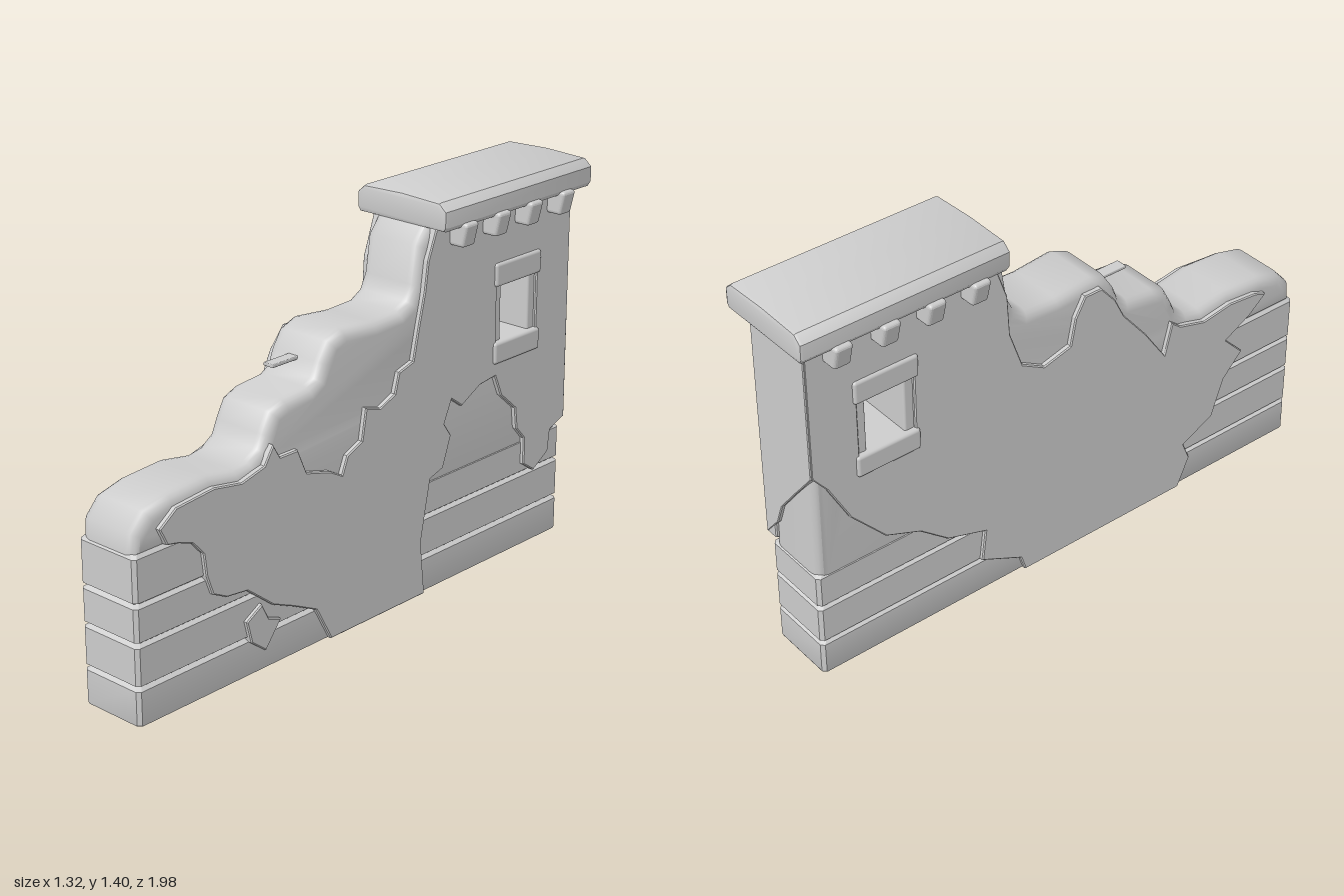
import * as THREE from 'three';
import { toCreasedNormals } from 'three/addons/utils/BufferGeometryUtils.js';
import { RoundedBoxGeometry } from 'three/addons/geometries/RoundedBoxGeometry.js';

const stone = new THREE.MeshStandardMaterial({ color: 0xcccccc, side: THREE.DoubleSide });
stone.name = 'pale stone';

// Wall space: x runs along the wall, y up, z through its thickness.
const outline = (points) => new THREE.Shape(points.map(([x, y]) => new THREE.Vector2(x, y)));

function rectHole(x0, x1, y0, y1) {
  return new THREE.Path([[x0, y0], [x0, y1], [x1, y1], [x1, y0]].map(([x, y]) => new THREE.Vector2(x, y)));
}

// Extrusion between z0 and z1 whose rounded edges stay inside the outline
function slab(shape, z0, z1, bevel, segments = 1) {
  const geo = new THREE.ExtrudeGeometry(shape, {
    depth: z1 - z0 - 2 * bevel, bevelEnabled: bevel > 0, bevelSize: bevel,
    bevelThickness: bevel, bevelOffset: -bevel, bevelSegments: segments,
  });
  geo.translate(0, 0, z0 + bevel);
  return geo;
}

// Open tube of stacked courses: rings are [height, inset]
function courseShell(x0, x1, half, rings) {
  const pos = [], idx = [], c = 0.012;
  for (const [y, d] of rings) {
    const a = x0 + d, b = x1 - d, h = half - d;
    const ring = [[b, -h + c], [b, h - c], [b - c, h], [a + c, h], [a, h - c], [a, -h + c], [a + c, -h], [b - c, -h]];
    for (const [x, z] of ring) pos.push(x, y, z);
  }
  for (let r = 0; r < rings.length - 1; r++) {
    for (let i = 0; i < 8; i++) {
      const a = r * 8 + i, n = r * 8 + (i + 1) % 8;
      idx.push(a, a + 8, n, a + 8, n + 8, n);
    }
  }
  const geo = new THREE.BufferGeometry();
  geo.setAttribute('position', new THREE.Float32BufferAttribute(pos, 3));
  geo.setIndex(idx);
  return toCreasedNormals(geo, 0.4);
}

export function createModel() {
  const model = new THREE.Group();
  model.name = 'ruinedWall';
  const wall = new THREE.Group();
  wall.name = 'wall';
  wall.rotation.y = Math.PI / 3;
  wall.position.set(-0.022, 0, -0.0125);
  model.add(wall);

  const add = (name, geo, x = 0, y = 0, z = 0) => {
    const mesh = new THREE.Mesh(geo, stone);
    mesh.name = name;
    mesh.position.set(x, y, z);
    wall.add(mesh);
    return mesh;
  };
  const block = (name, x0, x1, y0, y1, z0, z1, r = 0.01) =>
    add(name, new RoundedBoxGeometry(x1 - x0, y1 - y0, z1 - z0, 2, r), (x0 + x1) / 2, (y0 + y1) / 2, (z0 + z1) / 2);

  // Lower stone courses, open underneath
  const rings = [[0, 0.003]];
  for (const [a, b] of [[0.008, 0.12], [0.14, 0.268], [0.288, 0.4]]) {
    rings.push([a, 0], [b, 0], [b + 0.01, 0.014]);
  }
  add('stoneCourses', courseShell(-1.085, 0.98, 0.125, rings));
  add('topCourse', courseShell(-1.085, -0.7, 0.125, [[0.41, 0.014], [0.42, 0], [0.565, 0], [0.58, 0.014]]));

  // Core with its stepped, worn crest
  const core = outline([
    [-0.75, 0.36], [0.975, 0.36], [0.975, 1.31], [0.26, 1.31], [0.21, 1.25], [0.19, 1.12], [0.165, 1.07],
    [0.12, 1.045], [0, 1.04], [-0.15, 1.055], [-0.215, 1.03], [-0.255, 0.97], [-0.275, 0.92], [-0.31, 0.9],
    [-0.42, 0.89], [-0.48, 0.865], [-0.515, 0.8], [-0.535, 0.755], [-0.58, 0.725], [-0.64, 0.715],
    [-0.76, 0.735], [-0.92, 0.725], [-1.02, 0.7], [-1.075, 0.64], [-1.08, 0.56], [-0.75, 0.56],
  ]);
  core.holes.push(rectHole(0.62, 0.775, 0.82, 1.03));
  add('core', toCreasedNormals(slab(core, -0.122, 0.122, 0.04, 4), 0.8));

  // Broken plaster on the two long faces
  const plaster = outline([
    [-0.24, 0], [0.23, 0], [0.22, 0.1], [0.21, 0.2], [0.23, 0.3], [0.255, 0.42], [0.32, 0.44], [0.36, 0.55],
    [0.325, 0.6], [0.36, 0.68], [0.415, 0.64], [0.51, 0.69], [0.59, 0.7], [0.625, 0.62], [0.705, 0.55],
    [0.715, 0.47], [0.76, 0.42], [0.76, 0.32], [0.82, 0.28], [0.9, 0.33], [0.91, 0.41], [0.985, 0.44],
    [0.985, 1.3], [0.27, 1.3], [0.23, 1.2], [0.215, 1.1], [0.185, 0.98], [0.16, 0.87], [0.09, 0.85],
    [0.07, 0.78], [0, 0.75], [-0.07, 0.77], [-0.09, 0.66], [-0.16, 0.63], [-0.185, 0.57], [-0.24, 0.6],
    [-0.35, 0.63], [-0.39, 0.72], [-0.47, 0.72], [-0.5, 0.77], [-0.54, 0.71], [-0.64, 0.685], [-0.76, 0.705],
    [-0.92, 0.69], [-0.99, 0.64], [-0.96, 0.58], [-0.91, 0.57], [-0.855, 0.55], [-0.81, 0.5], [-0.8, 0.42],
    [-0.775, 0.35], [-0.715, 0.32], [-0.625, 0.31], [-0.51, 0.22], [-0.415, 0.18], [-0.31, 0.13],
  ]);
  const backPlaster = outline([
    [-0.55, 0], [0.15, 0], [0.17, 0.06], [0.335, 0.14], [0.32, 0.26], [0.475, 0.31], [0.585, 0.4], [0.72, 0.455],
    [0.85, 0.6], [0.93, 0.75], [0.985, 0.82], [0.985, 1.3], [0.27, 1.3], [0.22, 1.16], [0.21, 1.01], [0.16, 0.87],
    [0.07, 0.82], [-0.04, 0.85], [-0.06, 0.95], [-0.1, 1.02], [-0.17, 1.02], [-0.23, 0.95], [-0.27, 0.87],
    [-0.37, 0.75], [-0.46, 0.62], [-0.49, 0.74], [-0.53, 0.71], [-0.64, 0.68], [-0.76, 0.7], [-0.88, 0.69],
    [-0.93, 0.67], [-0.86, 0.61], [-0.75, 0.55], [-0.83, 0.47], [-0.75, 0.385], [-0.7, 0.245], [-0.57, 0.18],
    [-0.6, 0.11],
  ]);
  for (const s of [plaster, backPlaster]) s.holes.push(rectHole(0.59, 0.805, 0.78, 1.07));
  add('plasterFace', slab(plaster, 0.09, 0.14, 0.004));
  add('plasterBackFace', slab(backPlaster, -0.14, -0.09, 0.004));
  add('plasterFragment', slab(outline([
    [-0.63, 0.2], [-0.61, 0.12], [-0.545, 0.07], [-0.475, 0.16], [-0.53, 0.18], [-0.56, 0.24],
  ]), 0.1, 0.14, 0.004));

  // Plaster on the tall end
  const endPlaster = slab(outline([
    [-0.138, 0.44], [-0.07, 0.52], [-0.04, 0.6], [0.04, 0.7], [0.09, 0.76], [0.138, 0.82], [0.138, 1.3], [-0.138, 1.3],
  ]), 0.95, 0.988, 0.003);
  endPlaster.rotateY(Math.PI / 2);
  add('plasterEnd', endPlaster);

  // Window surround, open right through the wall
  block('windowLintel', 0.575, 0.82, 1.025, 1.11, -0.15, 0.15, 0.012);
  block('windowSill', 0.575, 0.82, 0.745, 0.825, -0.15, 0.15, 0.012);
  for (const x of [0.585, 0.77]) block('windowJamb', x, x + 0.04, 0.81, 1.04, -0.13, 0.13, 0.008);

  // Coping slab with chamfered top edges and a slight sag
  const coping = slab(outline([
    [-0.185, 1.3], [0.185, 1.3], [0.195, 1.315], [0.195, 1.37], [0.165, 1.396], [0, 1.402], [-0.165, 1.396],
    [-0.195, 1.37], [-0.195, 1.315],
  ]), 0.25, 1.03, 0.012, 2);
  coping.rotateY(Math.PI / 2);
  add('coping', toCreasedNormals(coping, 0.4));

  // Small brackets under the coping, on both faces
  for (const x of [0.37, 0.54, 0.71, 0.885]) {
    for (const side of [-1, 1]) {
      const geo = new RoundedBoxGeometry(0.065, 0.085, 0.11, 2, 0.012);
      const p = geo.attributes.position;
      // Taper the underside back toward the wall
      for (let i = 0; i < p.count; i++) {
        if (p.getY(i) < 0 && p.getZ(i) * side > 0) p.setZ(i, p.getZ(i) - side * 0.015);
      }
      geo.computeVertexNormals();
      add('bracket', geo, x, 1.272, side * 0.157);
    }
  }

  // Thin peg left standing out of the middle step
  block('peg', -0.37, -0.23, 0.957, 0.969, -0.03, 0.012, 0.003);

  return model;
}
